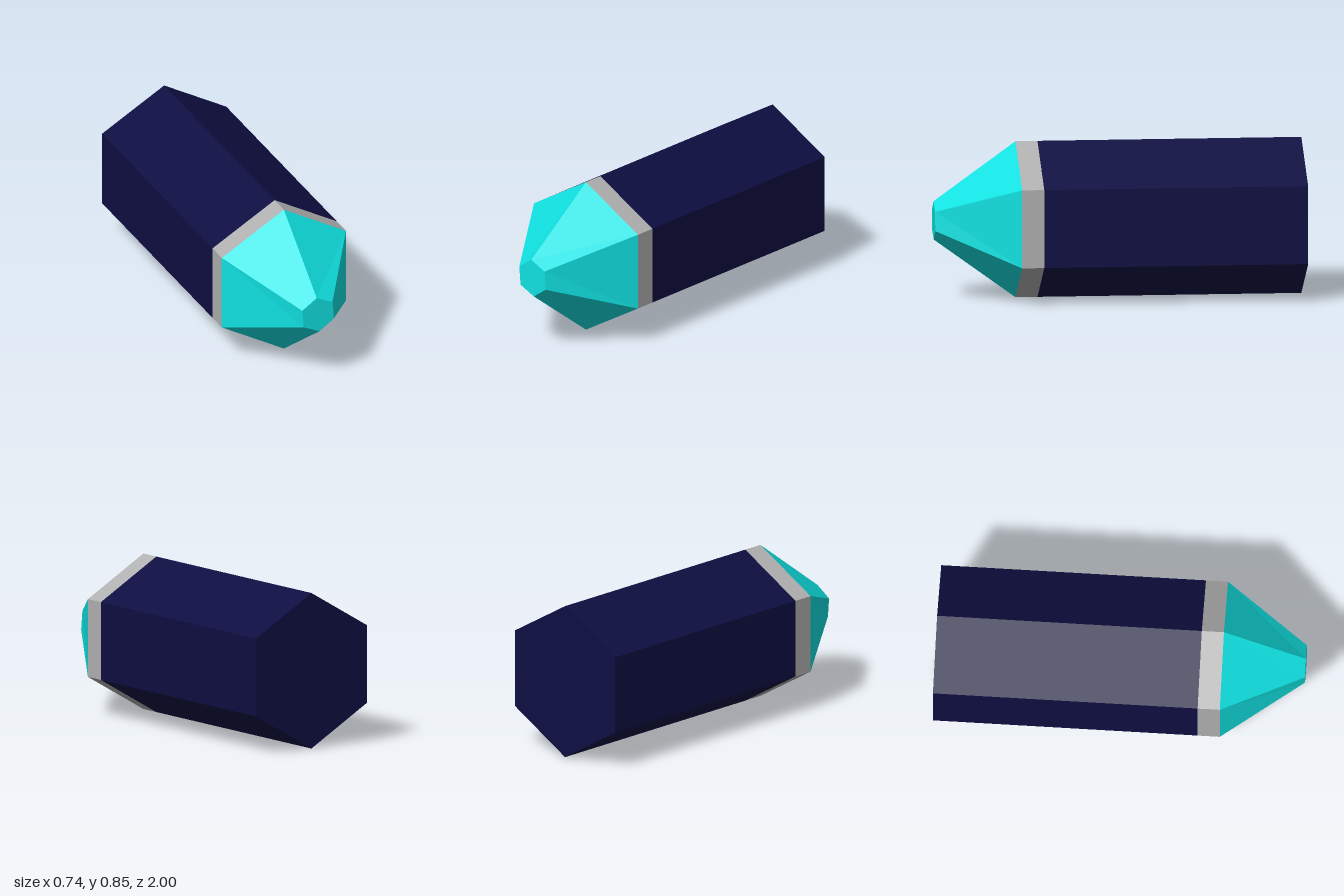
import * as THREE from 'three';

const R = 0.427, TIP_R = 0.104, TWIST = 0.081;

const navy = new THREE.MeshStandardMaterial({ color: 0x0e0e42 });
navy.name = 'navy';
const grey = new THREE.MeshStandardMaterial({ color: 0xb0b0b0 });
grey.name = 'grey';
const cyan = new THREE.MeshStandardMaterial({ color: 0x10e0e0 });
cyan.name = 'cyan';

export function createModel() {
  const group = new THREE.Group();
  group.name = 'hexagonalCrayon';

  const add = (name, geometry, material) => {
    const mesh = new THREE.Mesh(geometry, material);
    mesh.name = name;
    mesh.position.y = R;
    group.add(mesh);
  };

  // Open six-sided section along z; its front ring may be turned a little
  const section = (z0, z1, r0, r1, twist = 0) => {
    const g = new THREE.CylinderGeometry(r1, r0, z1 - z0, 6, 1, true).toNonIndexed();
    g.rotateX(Math.PI / 2).translate(0, 0, (z0 + z1) / 2);
    const p = g.attributes.position;
    const v = new THREE.Vector3(), axis = new THREE.Vector3(0, 0, 1);
    for (let i = 0; i < p.count; i++) {
      v.fromBufferAttribute(p, i);
      if (v.z > (z0 + z1) / 2) v.applyAxisAngle(axis, twist);
      p.setXYZ(i, v.x, v.y, v.z);
    }
    g.computeVertexNormals();
    return g;
  };

  // Flat hexagon facing +z
  const hexagon = (r, twist = 0) => new THREE.CircleGeometry(r, 6, Math.PI / 2 + twist);

  // Long body with its closed back end
  add('body', section(-1, 0.435, R, R), navy);
  add('bodyBack', hexagon(R).rotateY(Math.PI).translate(0, 0, -1), navy);

  // Band between body and tip
  add('band', section(0.435, 0.555, R, R), grey);

  // Tapered tip with a small blunt end
  add('tip', section(0.555, 1, R, TIP_R, TWIST), cyan);
  add('tipEnd', hexagon(TIP_R, TWIST).translate(0, 0, 1), cyan);

  return group;
}
